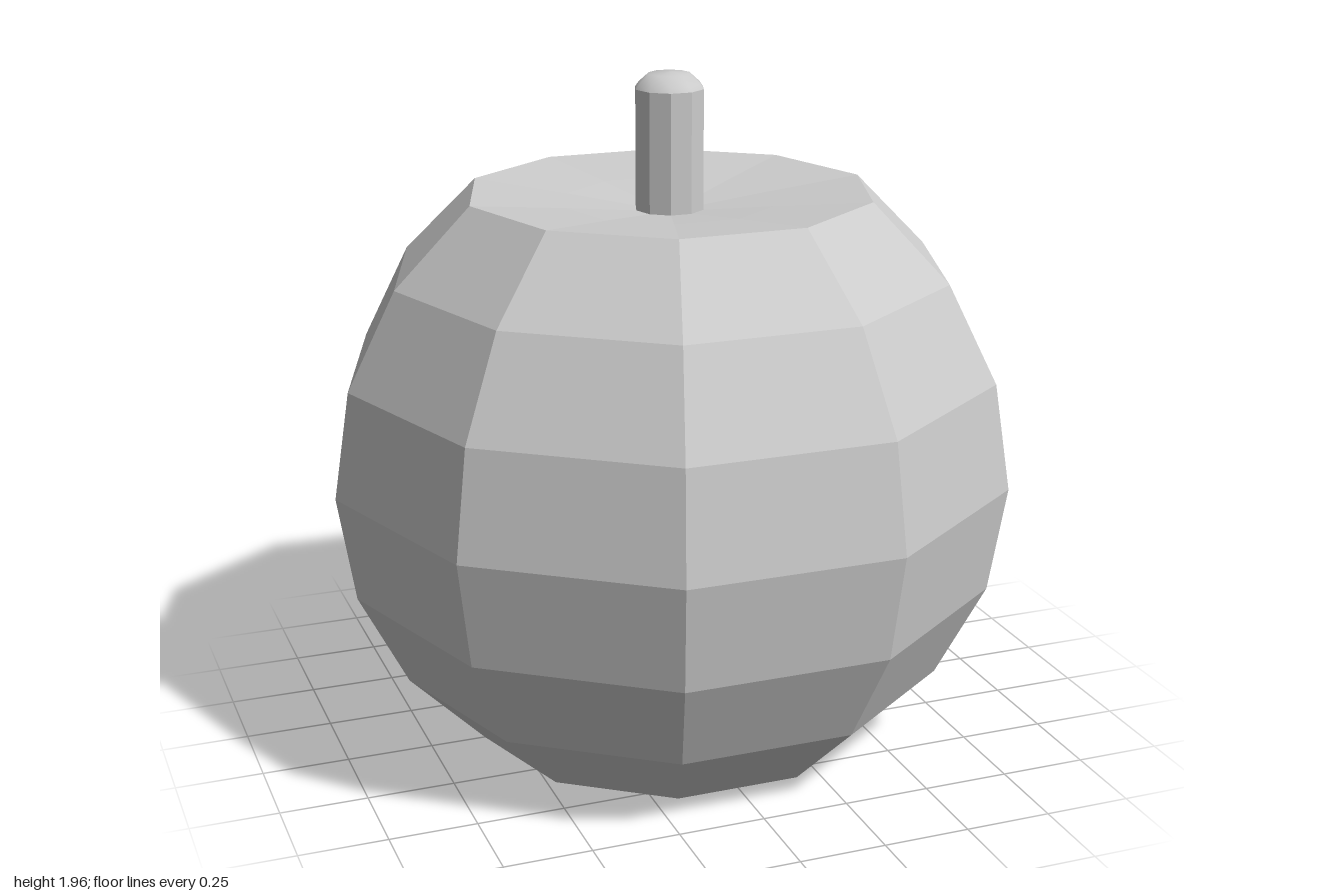
import * as THREE from 'three';

const SIDES = 10;

// Ten-sided turned form with a corner on the +x axis; profile runs bottom to top as [radius, y]
function turned(name, profile, flatShading) {
  const points = profile.map(([r, y]) => new THREE.Vector2(r, y));
  const mesh = new THREE.Mesh(
    new THREE.LatheGeometry(points, SIDES, Math.PI / 2),
    new THREE.MeshStandardMaterial({ color: 0xcccccc, flatShading })
  );
  mesh.name = name;
  return mesh;
}

export function createModel() {
  const group = new THREE.Group();
  group.name = 'fruit';

  // Body: sphere rings every 18 degrees, with both poles pushed in as dimples
  const centreY = 0.809;
  const profile = [[0, 0.04], [0.309, 0.05]];
  for (let i = -3; i <= 3; i++) {
    const a = (i * Math.PI) / 10;
    profile.push([Math.cos(a), centreY + Math.sin(a)]);
  }
  profile.push([0.309, 1.59], [0, 1.555]);
  group.add(turned('body', profile, true));

  // Stem rising from the top dimple
  group.add(turned('stem', [[0, 1.52], [0.1, 1.52], [0.1, 1.91]], true));

  // Smooth, shallow cap on the stem
  group.add(turned('stemCap', [[0.1, 1.91], [0.09, 1.924], [0.06, 1.951], [0, 1.955]], false));

  return group;
}
